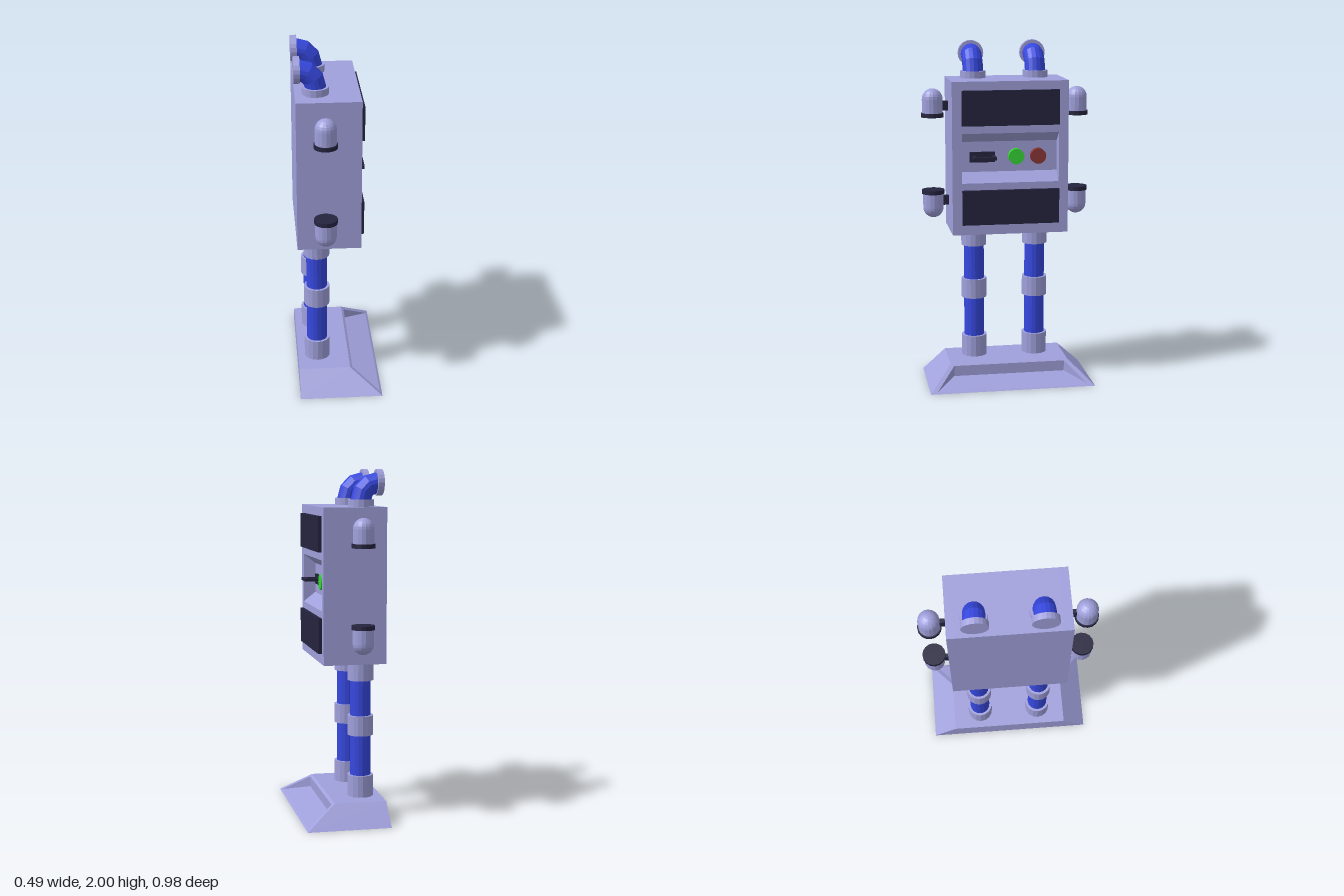
import * as THREE from 'three';

const mat = (color) => new THREE.MeshStandardMaterial({ color, flatShading: true });

export function createModel() {
  const shell = mat(0xa0a0dc), blue = mat(0x3648e0), dark = mat(0x25243f);
  const green = mat(0x36d636), red = mat(0x8c3636);
  const model = new THREE.Group();

  const add = (name, geometry, material, x = 0, y = 0, z = 0, parent = model) => {
    const mesh = new THREE.Mesh(geometry, material);
    mesh.name = name;
    mesh.position.set(x, y, z);
    parent.add(mesh);
    return mesh;
  };
  const box = (w, h, d) => new THREE.BoxGeometry(w, h, d);
  const pipe = (r, y0, y1) => new THREE.CylinderGeometry(r, r, y1 - y0, 16).translate(0, (y0 + y1) / 2, 0);
  const disc = (r, h) => new THREE.CylinderGeometry(r, r, h, 20).rotateZ(-Math.PI / 2);

  // Base: wedge with a sunken scoop in its sloping face
  const corners = [
    [-0.24, 0, -0.485], [0.24, 0, -0.485], [0.24, 0, 0.485], [-0.24, 0, 0.485],
    [-0.24, 0.12, -0.35], [0.06, 0.12, -0.35], [0.06, 0.12, 0.35], [-0.24, 0.12, 0.35],
    [0.075, 0.11, -0.33], [0.075, 0.11, 0.33], [0.228, 0.008, -0.445], [0.228, 0.008, 0.445],
    [0.075, 0.048, -0.33], [0.075, 0.048, 0.33],
  ];
  const faces = [
    [0, 1, 2, 3], [7, 6, 5, 4], [0, 3, 7, 4], [1, 0, 4, 5], [3, 2, 6, 7],
    [2, 1, 10, 11], [1, 5, 8, 10], [5, 6, 9, 8], [6, 2, 11, 9],
    [13, 12, 8, 9], [11, 10, 12, 13], [10, 8, 12], [11, 13, 9],
  ];
  const points = [];
  for (const f of faces) {
    for (let i = 1; i < f.length - 1; i++) points.push(...corners[f[0]], ...corners[f[i]], ...corners[f[i + 1]]);
  }
  const baseGeometry = new THREE.BufferGeometry();
  baseGeometry.setAttribute('position', new THREE.Float32BufferAttribute(points, 3));
  baseGeometry.computeVertexNormals();
  add('base', baseGeometry, shell);

  // Body: notched middle section closed by a plain block on each side
  const profile = new THREE.Shape([
    [-0.24, 0.91], [0.12, 0.91], [0.12, 1.21], [0.05, 1.265],
    [0.05, 1.44], [0.12, 1.495], [0.12, 1.79], [-0.24, 1.79],
  ].map(([x, y]) => new THREE.Vector2(x, y)));
  add('bodyMiddle', new THREE.ExtrudeGeometry(profile, { depth: 0.56, bevelEnabled: false }), shell, 0, 0, -0.28);
  for (const s of [-1, 1]) add('bodySide', box(0.36, 0.88, 0.055), shell, -0.06, 1.35, s * 0.3075);

  // Dark panels above and below the recess
  add('upperPanel', box(0.02, 0.2, 0.56), dark, 0.13, 1.64, 0);
  add('lowerPanel', box(0.02, 0.2, 0.56), dark, 0.13, 1.07, 0);

  // Buttons and bracket handle in the recess
  add('greenButton', disc(0.045, 0.035), green, 0.0675, 1.353, -0.04);
  add('redButton', disc(0.045, 0.035), red, 0.0675, 1.353, -0.168);
  const handle = new THREE.Group();
  handle.name = 'handle';
  model.add(handle);
  add('handlePlate', box(0.012, 0.06, 0.145), dark, 0.056, 1.351, 0.155, handle);
  for (const z of [0.0925, 0.2075]) add('handleArm', box(0.09, 0.016, 0.02), dark, 0.1, 1.353, z, handle);
  add('handleBar', box(0.022, 0.016, 0.135), dark, 0.135, 1.353, 0.15, handle);

  for (const s of [-1, 1]) {
    // Leg with three collars
    const leg = new THREE.Group();
    leg.name = 'leg';
    leg.position.set(-0.125, 0, s * 0.183);
    model.add(leg);
    add('legPipe', pipe(0.06, 0.12, 0.91), blue, 0, 0, 0, leg);
    for (const [y0, y1] of [[0.12, 0.245], [0.48, 0.595], [0.8, 0.91]]) {
      add('legCollar', pipe(0.075, y0, y1), shell, 0, 0, 0, leg);
    }

    // Elbow pipe on the top, pointing backwards
    const chimney = new THREE.Group();
    chimney.name = 'topPipe';
    chimney.position.copy(leg.position);
    model.add(chimney);
    add('topCollar', pipe(0.075, 1.79, 1.83), shell, 0, 0, 0, chimney);
    add('elbow', new THREE.TorusGeometry(0.092, 0.06, 16, 3, Math.PI / 2), blue, -0.092, 1.83, 0, chimney);
    add('pipeCap', disc(0.074, 0.035), shell, -0.1025, 1.925, 0, chimney);

    // Domed side lamps, the lower one upside down
    for (const [y, flip] of [[1.57, 1], [1.145, -1]]) {
      const lamp = new THREE.Group();
      lamp.name = 'sideLamp';
      lamp.position.set(-0.085, y, s * 0.425);
      if (flip < 0) lamp.rotation.x = Math.PI;
      model.add(lamp);
      add('lampRim', pipe(0.066, 0, 0.024), dark, 0, 0, 0, lamp);
      add('lampBody', pipe(0.06, 0.02, 0.105), shell, 0, 0, 0, lamp);
      add('lampDome', new THREE.SphereGeometry(0.06, 16, 6, 0, Math.PI * 2, 0, Math.PI / 2), shell, 0, 0.105, 0, lamp);
      add('lampBracket', box(0.024, 0.056, 0.08), dark, 0, 0.064, -s * flip * 0.065, lamp);
    }
  }
  return model;
}
